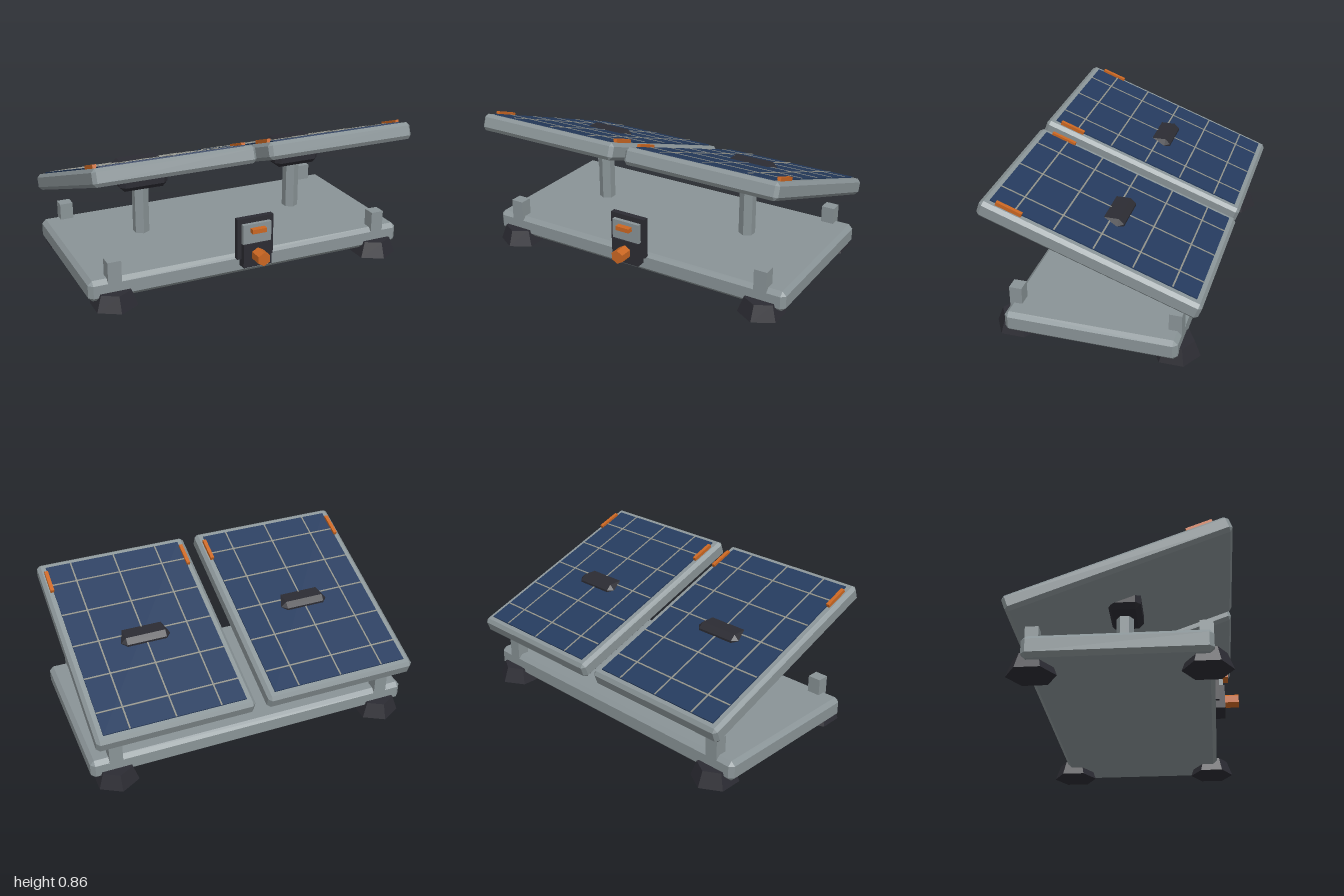
import * as THREE from 'three';
import { ConvexGeometry } from 'three/addons/geometries/ConvexGeometry.js';

const material = (name, color) => {
  const m = new THREE.MeshStandardMaterial({ color });
  m.name = name;
  return m;
};

// Box with every edge cut at 45 degrees
function chamferBox(w, h, d, c) {
  const points = [];
  for (const x of [-w / 2, w / 2]) for (const y of [-h / 2, h / 2]) for (const z of [-d / 2, d / 2]) {
    const cx = Math.sign(x) * c, cy = Math.sign(y) * c, cz = Math.sign(z) * c;
    points.push(
      new THREE.Vector3(x, y - cy, z - cz),
      new THREE.Vector3(x - cx, y, z - cz),
      new THREE.Vector3(x - cx, y - cy, z));
  }
  return new ConvexGeometry(points);
}

const box = (w, h, d) => new THREE.BoxGeometry(w, h, d);
// Six-sided, with flat facets
const hexagon = (rTop, rBottom, h) => {
  const g = new THREE.CylinderGeometry(rTop, rBottom, h, 6).toNonIndexed();
  g.computeVertexNormals();
  return g;
};

function add(parent, name, geometry, mat, x = 0, y = 0, z = 0) {
  const mesh = new THREE.Mesh(geometry, mat);
  mesh.name = name;
  mesh.position.set(x, y, z);
  parent.add(mesh);
  return mesh;
}

export function createModel() {
  const model = new THREE.Group();
  model.name = 'solarPanelStand';
  const metal = material('grey metal', 0x8a9497);
  const dark = material('dark rubber', 0x2c2c33);
  const blue = material('solar blue', 0x253b5e);
  const orange = material('orange', 0xcb6722);
  const line = material('cell line', 0x8f9088);
  const zc = -0.007; // depth centre of the stand

  // Base slab with feet and corner posts
  add(model, 'base', chamferBox(2, 0.125, 1, 0.025), metal, 0, 0.109, zc);
  for (const sx of [-1, 1]) for (const sz of [-1, 1]) {
    const x = sx * 0.85, z = zc + sz * 0.463;
    add(model, 'foot', hexagon(0.103, 0.138, 0.093), dark, x, 0.0465, z);
    add(model, 'cornerPost', box(0.08, 0.143, 0.074), metal, x, 0.2015, z);
  }

  // Two tilted panels on columns
  for (const side of [-1, 1]) {
    const x = side * 0.51;
    add(model, 'column', hexagon(0.05, 0.05, 0.32), metal, x, 0.36, zc);
    add(model, 'tiltHead', chamferBox(0.3, 0.168, 0.197, 0.03), dark, x, 0.578, zc);

    const panel = new THREE.Group();
    panel.name = side > 0 ? 'leftPanel' : 'rightPanel';
    panel.position.set(x, 0.595, zc);
    panel.rotation.x = -0.35;
    model.add(panel);
    add(panel, 'panelFrame', chamferBox(0.94, 0.1, 1.3, 0.02), metal);
    add(panel, 'solarCells', box(0.845, 0.009, 1.21), blue, 0, 0.0525, 0);
    // Grid lines between the cells
    for (let i = -1; i <= 1; i++)
      add(panel, 'cellLineLong', box(0.009, 0.004, 1.21), line, i * 0.27, 0.0575, 0);
    for (let i = -2; i <= 2; i++)
      add(panel, 'cellLineCross', box(0.845, 0.004, 0.009), line, 0, 0.0575, i * 0.231);
    // Edge clips near the raised front
    for (const s of [-1, 1])
      add(panel, 'edgeClip', box(0.022, 0.026, 0.152), orange, s * 0.43, 0.058, 0.492);
  }

  // Control box on the front edge
  add(model, 'controlBackPlate', box(0.23, 0.25, 0.034), dark, 0, 0.275, 0.5);
  add(model, 'controlLowerBlock', box(0.18, 0.145, 0.067), dark, 0, 0.1775, 0.5165);
  add(model, 'controlFace', box(0.18, 0.12, 0.026), metal, 0, 0.309, 0.528);
  add(model, 'controlButton', box(0.09, 0.026, 0.035), orange, 0, 0.334, 0.5575);
  const knob = add(model, 'controlKnob', hexagon(0.042, 0.042, 0.084), orange, 0, 0.18, 0.59);
  knob.rotation.x = Math.PI / 2;

  return model;
}
